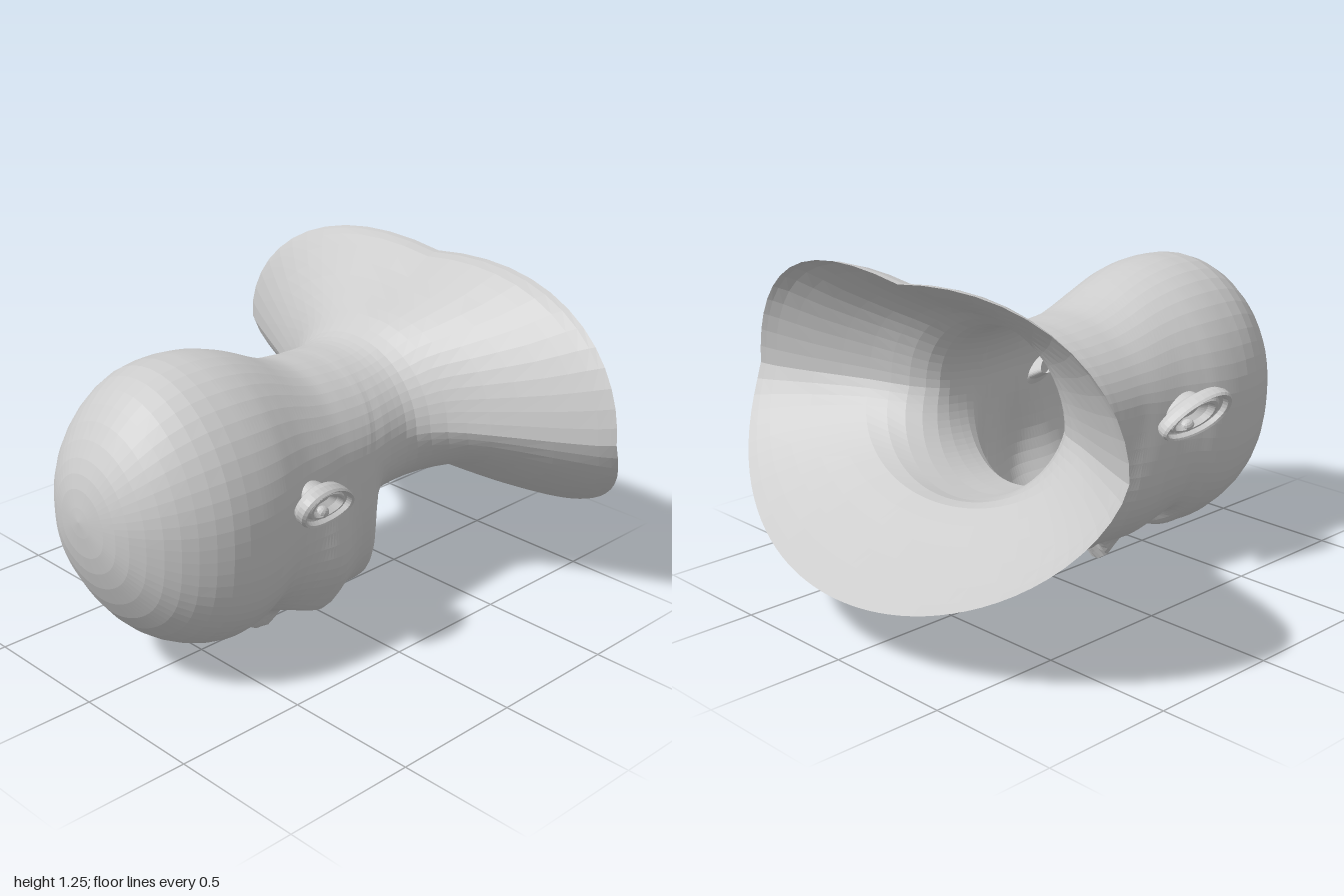
import * as THREE from 'three';

const SEG = 72;
const grey = new THREE.MeshStandardMaterial({ color: 0xcccccc, flatShading: true, side: THREE.DoubleSide });
const clamp = (v) => Math.min(1, Math.max(0, v));
const bump = (u, z, u0, z0, ru, rz) => Math.exp(-(((u - u0) / ru) ** 2) - ((z - z0) / rz) ** 2);
const pair = (u, ...r) => bump(Math.abs(u), ...r);

// Skin a list of closed rings of points
function loft(rings) {
  const n = rings[0].length, index = [];
  for (let i = 0; i < rings.length - 1; i++) {
    for (let j = 0; j < n; j++) {
      const k = (j + 1) % n, a = i * n, b = a + n;
      index.push(a + j, a + k, b + j, a + k, b + k, b + j);
    }
  }
  const geo = new THREE.BufferGeometry();
  geo.setAttribute('position', new THREE.Float32BufferAttribute(rings.flat(2), 3));
  geo.setIndex(index);
  geo.computeVertexNormals();
  return geo;
}

// Upright head sections: z, top y, side y, half width, underside y
const headRows = [
  [1, 0.68, 0.68, 0, 0.68], [0.985, 0.79, 0.67, 0.11, 0.55], [0.95, 0.885, 0.66, 0.2, 0.43],
  [0.88, 0.99, 0.65, 0.29, 0.3], [0.79, 1.075, 0.64, 0.355, 0.2], [0.68, 1.125, 0.64, 0.4, 0.13],
  [0.56, 1.135, 0.64, 0.412, 0.09], [0.46, 1.125, 0.65, 0.405, 0.1], [0.38, 1.105, 0.66, 0.385, 0.125],
  [0.3, 1.075, 0.67, 0.365, 0.11], [0.2, 1.03, 0.68, 0.35, 0.09],
];
// Tilted jaw, neck and shoulder sections: top z, top y, side z, side y, half width, underside z, underside y
const neckRows = [
  [0.11, 1, 0.13, 0.69, 0.338, 0.1, 0.075], [0.02, 0.99, 0.07, 0.69, 0.333, 0, 0.08],
  [-0.04, 0.985, 0.03, 0.69, 0.33, -0.08, 0.09], [-0.07, 0.985, 0.01, 0.69, 0.328, -0.145, 0.1],
  [-0.09, 0.985, -0.01, 0.69, 0.327, -0.18, 0.15], [-0.11, 0.985, -0.04, 0.69, 0.323, -0.185, 0.27],
  [-0.14, 0.985, -0.09, 0.7, 0.32, -0.175, 0.4], [-0.19, 0.99, -0.17, 0.71, 0.315, -0.23, 0.42],
  [-0.25, 1.01, -0.25, 0.72, 0.325, -0.36, 0.43], [-0.33, 1.06, -0.33, 0.73, 0.4, -0.48, 0.445],
  [-0.42, 1.1, -0.4, 0.74, 0.54, -0.58, 0.455], [-0.54, 1.16, -0.5, 0.75, 0.74, -0.72, 0.37],
  [-0.64, 1.22, -0.57, 0.76, 0.88, -0.88, 0.28], [-0.7, 1.23, -0.6, 0.77, 0.935, -1, 0.22],
];

// Height of the facial relief; positive sinks into the face
function faceRelief(u, z) {
  const noseHeight = 0.105 * clamp((0.43 - z) / 0.165) * clamp((z - 0.195) / 0.05);
  const noseWidth = 0.04 + 0.04 * clamp((0.4 - z) / 0.14);
  return -noseHeight * Math.exp(-((u / noseWidth) ** 2))
    - 0.025 * pair(u, z, 0.07, 0.235, 0.025, 0.025)  // nostril wings
    + 0.04 * pair(u, z, 0.032, 0.215, 0.018, 0.015)  // nostrils
    - 0.012 * pair(u, z, 0.14, 0.46, 0.1, 0.03)      // brows
    + 0.05 * pair(u, z, 0.15, 0.39, 0.08, 0.038)     // eye sockets
    - 0.035 * pair(u, z, 0.155, 0.385, 0.05, 0.02)   // closed eyes
    + 0.015 * pair(u, z, 0.155, 0.372, 0.05, 0.008)  // eyelid line
    - 0.015 * pair(u, z, 0.2, 0.24, 0.08, 0.08)      // cheeks
    - 0.045 * bump(u, z, 0.22, 0.13, 0.07, 0.09)     // fuller left cheek
    + 0.025 * pair(u, z, 0.13, 0.16, 0.025, 0.06)    // cheek folds
    - 0.028 * bump(u, z, 0, 0.155, 0.085, 0.022)     // upper lip
    + 0.04 * bump(u, z, 0, 0.122, 0.09, 0.012)       // mouth line
    - 0.022 * bump(u, z, 0, 0.092, 0.07, 0.02)       // lower lip
    + 0.015 * bump(u, z, 0, 0.05, 0.08, 0.022);      // hollow above chin
}

function sectionRing([zT, yT, zS, yS, w, zB, yB]) {
  const ring = [];
  const flare = clamp((-0.3 - zS) / 0.3);
  // the lower face swings slightly to the left
  const swing = zB < -0.2 ? 0 : 0.12 * Math.max(0, 0.33 - zB) * clamp((0.44 - yB) / 0.34);
  // full temples and cheeks, rounded jaw corners
  const temple = 0.08 * clamp((zB + 0.1) / 0.2);
  const cheek = Math.exp(-(((zB - 0.15) / 0.13) ** 2));
  const jaw = 0.4 * Math.exp(-(((zB + 0.17) / 0.05) ** 2));
  for (let j = 0; j < SEG; j++) {
    const t = (j / SEG) * Math.PI * 2;
    const a = t + 0.5 * Math.sin(t); // closer spacing across the face
    const c = Math.cos(a), k = Math.abs(c);
    const up = c > 0;
    const corner = Math.abs(Math.sin(2 * a));
    let x = Math.max(0, w) * Math.sin(a);
    let y = yS + ((up ? yT : yB) - yS) * k;
    const z = zS + ((up ? zT : zB) - zS) * k ** (1.15 + (up ? 0.8 * flare : 0.15 * flare + jaw));
    if (up) y += 0.075 * flare * corner;
    else {
      x *= 1 + (temple + cheek * (x > 0 ? 0.2 : 0.1)) * corner ** 2;
      if (zB > -0.17 && zB < 0.6) y += faceRelief(x, z) * clamp((k - 0.3) * 3);
      x += swing * k ** 1.5;
    }
    ring.push([x, Math.max(0, y), z]);
  }
  return ring;
}

function bodyGeometry() {
  const rows = [...headRows.map(([z, t, s, w, b]) => [z, t, z, s, w, z, b]), ...neckRows];
  const at = (i) => rows[Math.min(rows.length - 1, Math.max(0, i))];
  const rings = [];
  for (let i = 0; i < rows.length - 1; i++) {
    const steps = i >= 6 && i < 13 ? 7 : 2; // finer over the face
    for (let s = 0; s < steps; s++) {
      const f = s / steps;
      rings.push(sectionRing(rows[i].map((p1, c) => {
        const p0 = at(i - 1)[c], p2 = at(i + 1)[c], p3 = at(i + 2)[c];
        return p1 + 0.5 * f * (p2 - p0 + f * (2 * p0 - 5 * p1 + 4 * p2 - p3 + f * (3 * (p1 - p2) + p3 - p0)));
      })));
    }
  }
  rings.push(sectionRing(at(rows.length)));
  return loft(rings);
}

// Ear: egg outline stepped through scale and outward height
function earGeometry() {
  const steps = [
    [0.4, -0.12], [0.5, -0.06], [0.72, -0.042], [0.93, -0.032], [1, -0.012], [1, 0.012], [0.95, 0.022],
    [0.87, 0.018], [0.82, 0], [0.74, -0.004], [0.66, 0.008], [0.58, 0.008], [0.5, -0.015], [0.35, -0.035], [0, -0.04],
  ];
  const rings = steps.map(([s, h]) => {
    const ring = [];
    for (let j = 0; j < 36; j++) {
      const a = (j / 36) * Math.PI * 2;
      const p = Math.sin(a);
      ring.push([h, 0.08 * s * Math.cos(a) * (1 + 0.2 * p), 0.155 * s * p - 0.02 * (1 - s)]);
    }
    return ring;
  });
  return loft(rings);
}

function place(geo) {
  return geo.rotateX(-0.33).rotateZ(-0.4).rotateY(0.12).translate(0.428, 0.658, 0.298);
}

export function createModel() {
  const model = new THREE.Group();
  model.name = 'bust';
  const add = (name, geo, mirror = 1) => {
    const mesh = new THREE.Mesh(geo, grey);
    mesh.name = name;
    mesh.scale.x = mirror;
    model.add(mesh);
  };
  add('headNeckAndShoulders', bodyGeometry());
  // pouch behind the lips, seen through the open neck
  add('mouthCavity', new THREE.SphereGeometry(1, 10, 6).scale(0.12, 0.1, 0.09).translate(0.03, 0.25, 0.08));

  const ear = place(earGeometry());
  // small flap in front of the ear canal
  const flap = place(new THREE.SphereGeometry(1, 12, 8).scale(0.022, 0.022, 0.03).translate(-0.012, -0.042, -0.03));
  for (const [side, m] of [['left', 1], ['right', -1]]) {
    add(side + 'Ear', ear, m);
    add(side + 'EarFlap', flap, m);
  }
  return model;
}
